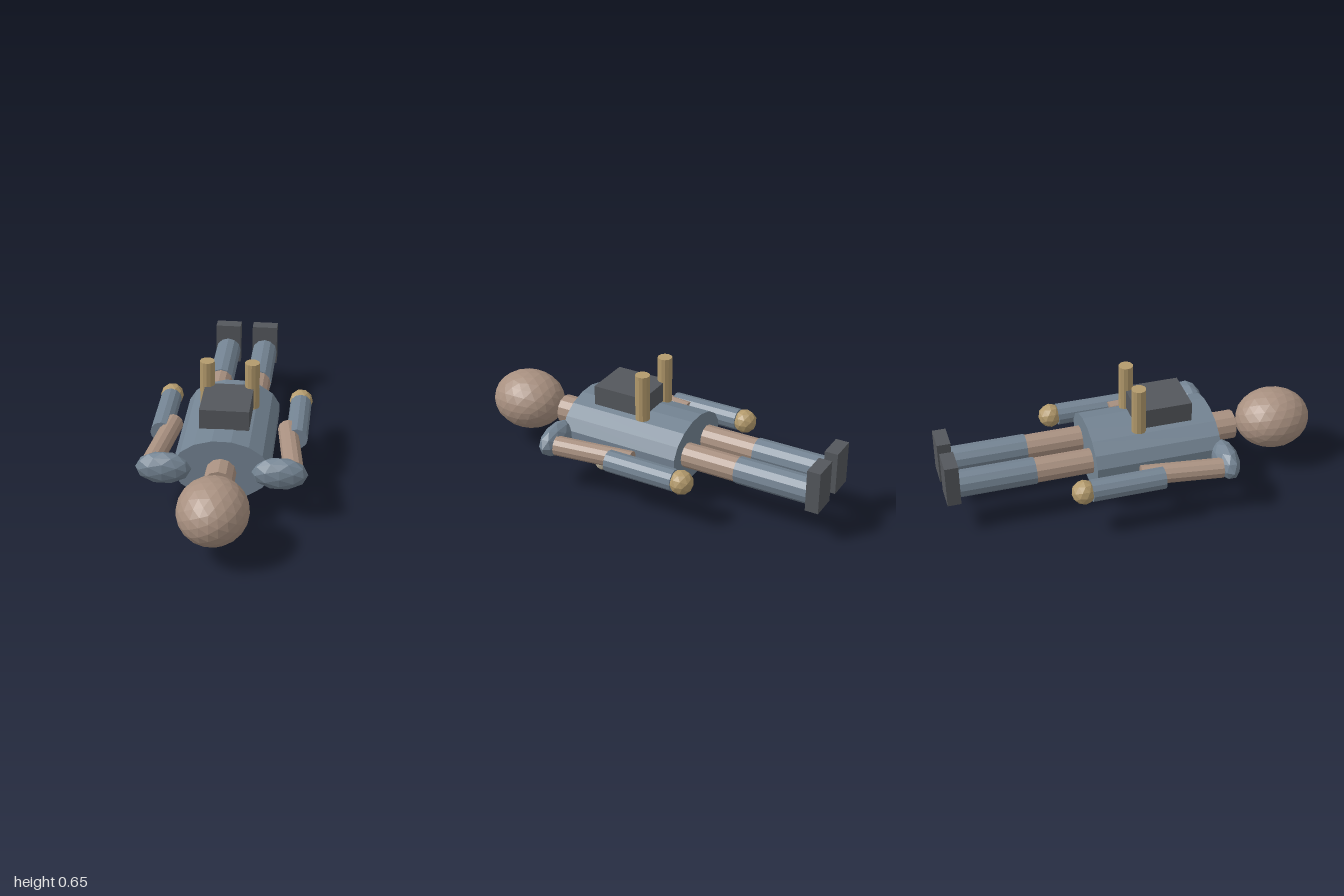
import * as THREE from 'three';

const mat = (color) => new THREE.MeshStandardMaterial({ color, flatShading: true });
const CY = 0.257; // height of the body axis

export function createModel() {
  const model = new THREE.Group();
  const skin = mat(0xa89080), cloth = mat(0x738392), dark = mat(0x54575c);
  const brass = mat(0xb39a6c), pale = mat(0xc0b69e);

  const add = (name, geometry, material, x, y, z) => {
    const mesh = new THREE.Mesh(geometry, material);
    mesh.name = name;
    mesh.position.set(x, y, z);
    model.add(mesh);
    return mesh;
  };

  // Faceted ellipsoid
  const ball = (rx, ry, rz, detail) => new THREE.IcosahedronGeometry(1, detail).scale(rx, ry, rz);

  // Cylinder lying along z between two depths
  const limb = (name, r, z0, z1, material, x, sides = 12) =>
    add(name, new THREE.CylinderGeometry(r, r, z1 - z0, sides).rotateX(Math.PI / 2), material, x, CY, (z0 + z1) / 2);

  // Head, neck and oval torso
  add('head', ball(0.176, 0.158, 0.2, 3), skin, 0, CY, 0.793);
  limb('neck', 0.077, 0.44, 0.565, skin, 0);
  const torso = new THREE.CylinderGeometry(1, 1, 0.66, 16, 1, false, Math.PI / 16)
    .rotateX(Math.PI / 2).scale(0.245, 0.164, 1);
  add('torso', torso, cloth, 0, CY, 0.09);

  // Backpack with a pair of upright canisters, and the chest plate
  add('backpack', new THREE.BoxGeometry(0.25, 0.105, 0.29), dark, 0, 0.468, 0.148);
  add('chestPlate', new THREE.BoxGeometry(0.16, 0.022, 0.17), brass, 0, 0.069, 0.225);

  for (const s of [1, -1]) {
    const side = s > 0 ? 'left' : 'right';
    add(side + 'Canister', new THREE.CylinderGeometry(0.038, 0.038, 0.25, 12), brass, s * 0.115, 0.528, 0.012);
    add(side + 'ChestBall', ball(0.043, 0.043, 0.043, 1), pale, s * 0.08, 0.045, 0.28);

    // Arm
    add(side + 'Shoulder', ball(0.141, 0.085, 0.065, 1), cloth, s * 0.29, CY, 0.424);
    const upperArm = limb(side + 'UpperArm', 0.052, -0.21, 0.21, skin, s * 0.328);
    upperArm.position.z = 0.178;
    upperArm.rotation.y = s * 0.132;
    limb(side + 'Forearm', 0.057, -0.305, 0.075, cloth, s * 0.352);
    add(side + 'Hand', ball(0.063, 0.063, 0.063, 1), brass, s * 0.352, CY, -0.343);

    // Leg
    limb(side + 'Thigh', 0.065, -0.54, -0.22, skin, s * 0.105);
    limb(side + 'Shin', 0.07, -0.93, -0.535, cloth, s * 0.105);
    add(side + 'Foot', new THREE.BoxGeometry(0.14, 0.225, 0.07), dark, s * 0.105, 0.294, -0.965);
  }
  return model;
}
